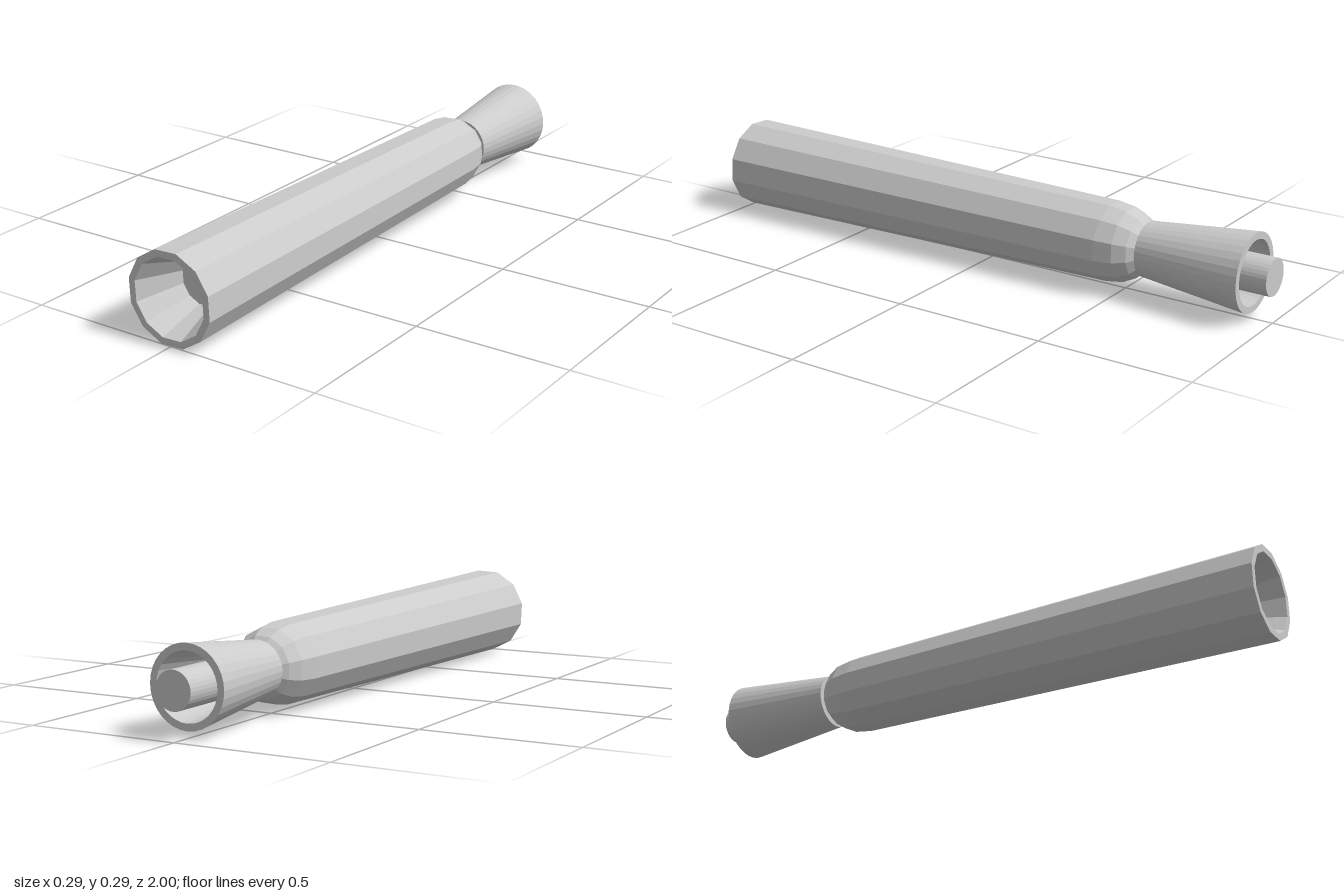
import * as THREE from 'three';

const AXIS_Y = 0.148;

export function createModel() {
  const group = new THREE.Group();
  const material = new THREE.MeshStandardMaterial({ color: 0xcccccc, flatShading: true });

  // Turned part along z; profile is [radius, z] from the rear, outside first
  function turned(name, profile, sides, startAngle = 0) {
    const points = profile.map(([r, z]) => new THREE.Vector2(r, z));
    const geometry = new THREE.LatheGeometry(points, sides, startAngle);
    geometry.rotateX(Math.PI / 2);
    const mesh = new THREE.Mesh(geometry, material);
    mesh.name = name;
    mesh.position.y = AXIS_Y;
    group.add(mesh);
  }

  // Twelve-sided tapered body with rounded shoulder and recessed front
  turned('body', [
    [0, -0.575], [0.07, -0.575], [0.098, -0.55], [0.118, -0.51], [0.127, -0.45],
    [0.149, 1], [0.127, 1], [0.076, 0.85], [0, 0.85],
  ], 12, THREE.MathUtils.degToRad(17.3));

  // Flared hollow nozzle, open at the rear
  turned('nozzle', [
    [0, -0.62], [0.07, -0.62], [0.103, -0.935], [0.125, -0.935],
    [0.088, -0.575], [0, -0.575],
  ], 32);

  // Round plug inside the nozzle
  turned('plug', [[0, -1], [0.059, -1], [0.059, -0.61], [0, -0.61]], 32);

  return group;
}
